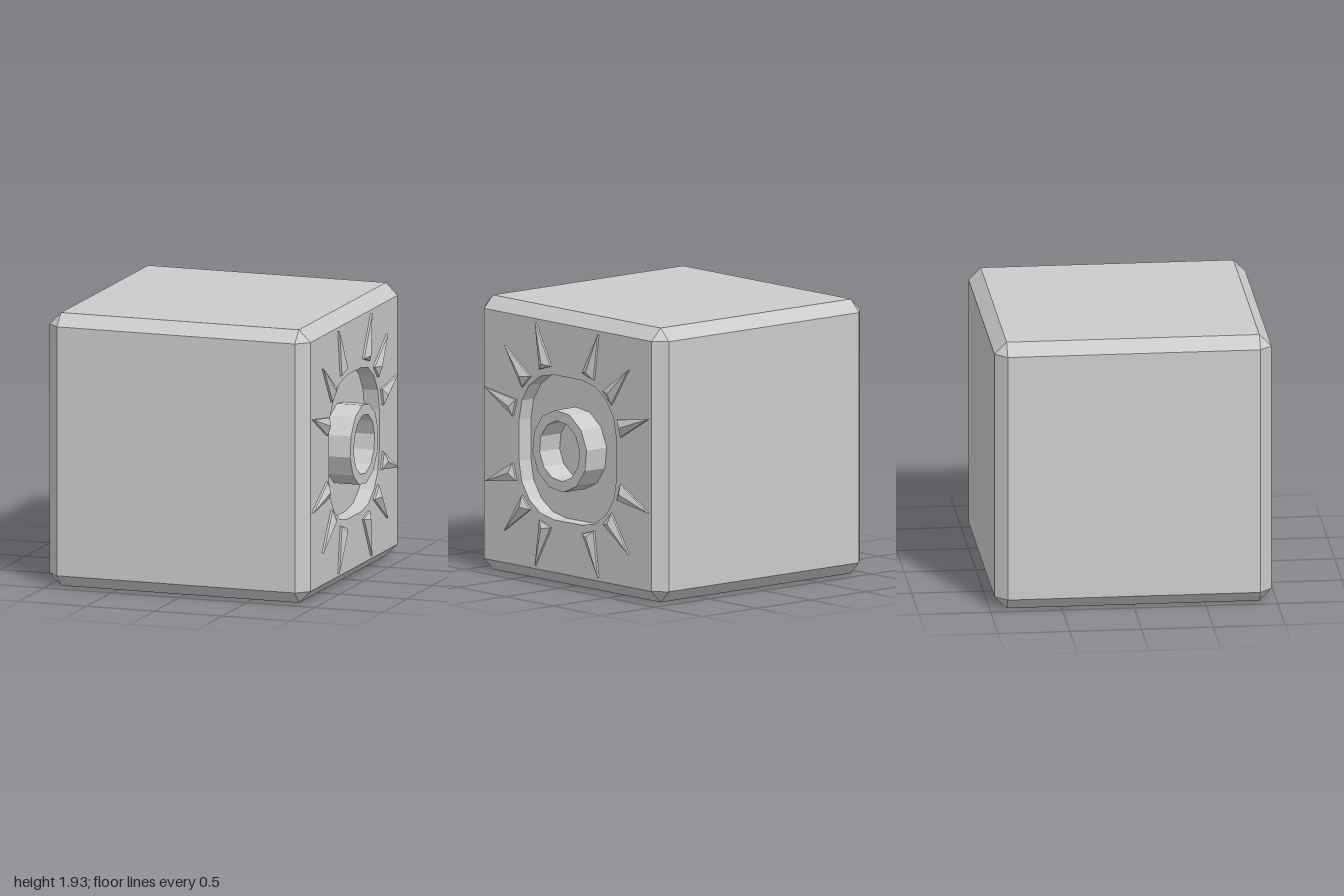
import * as THREE from 'three';
import { ConvexGeometry } from 'three/addons/geometries/ConvexGeometry.js';

const HALF = 0.965, BEVEL = 0.085;      // cube half size and chamfer width
const LEFT = -1, FACE = 0.925, FLOOR = 0.815; // x of plain side, carved side, recess floor

const material = new THREE.MeshStandardMaterial({ color: 0xcccccc, flatShading: true });

function mesh(name, geometry, parent) {
  const m = new THREE.Mesh(geometry, material);
  m.name = name;
  parent.add(m);
  return m;
}

function fromTriangles(points) {
  const g = new THREE.BufferGeometry().setFromPoints(points);
  g.computeVertexNormals();
  return g;
}

// Chamfered cube whose carved side (+x) is left open
function chamferedShell() {
  const mid = (LEFT + FACE) / 2, h = (FACE - LEFT) / 2;
  const pts = [];
  for (const x of [-1, 1]) for (const y of [-1, 1]) for (const z of [-1, 1])
    for (let axis = 0; axis < 3; axis++) {
      const inset = [0, 1, 2].map(i => (i === axis ? 0 : BEVEL));
      pts.push(new THREE.Vector3(mid + x * (h - inset[0]), y * (HALF - inset[1]), z * (HALF - inset[2])));
    }
  const pos = new ConvexGeometry(pts).getAttribute('position');
  const kept = [];
  for (let i = 0; i < pos.count; i += 3) {
    const tri = [0, 1, 2].map(k => new THREE.Vector3().fromBufferAttribute(pos, i + k));
    if (!tri.every(p => p.x > FACE - 0.001)) kept.push(...tri);
  }
  return fromTriangles(kept);
}

// Rounded square outline of the recess, counter-clockwise
function recessOutline() {
  const flat = 0.145, r = 0.365, pts = [];
  for (let q = 0; q < 4; q++)
    for (let s = 0; s <= 4; s++) {
      const a = (q + s / 4) * Math.PI / 2;
      const sx = q === 0 || q === 3 ? 1 : -1, sy = q < 2 ? 1 : -1;
      pts.push(new THREE.Vector2(sx * flat + r * Math.cos(a), sy * flat + r * Math.sin(a)));
    }
  return pts;
}

function polygon(radius, sides, turn) {
  return Array.from({ length: sides }, (_, i) => {
    const a = turn + i * 2 * Math.PI / sides;
    return new THREE.Vector2(radius * Math.cos(a), radius * Math.sin(a));
  });
}

// Inward-facing wall between the carved side and the recess floor
function recessWall(outline) {
  const tris = [];
  outline.forEach((p, i) => {
    const q = outline[(i + 1) % outline.length];
    const [a, b] = [p, q].map(v => new THREE.Vector3(v.x, v.y, FACE));
    const [c, d] = [p, q].map(v => new THREE.Vector3(v.x, v.y, FLOOR));
    tris.push(a, b, d, a, d, c);
  });
  return fromTriangles(tris);
}

// Low spike: triangular foot with a thin rim, rising to a peak near its wide end
function spike(tip, baseA, baseB, peak, sx, sy) {
  const at = ([x, y], z) => new THREE.Vector3(sx * x, sy * y, z);
  const foot = [tip, baseA, baseB];
  return new ConvexGeometry([
    ...foot.map(p => at(p, FACE - 0.005)),
    ...foot.map(p => at(p, 0.94)),
    at(peak, 0.967),
  ]);
}

export function createModel() {
  const model = new THREE.Group();
  model.name = 'carvedCube';

  const body = mesh('cubeBody', chamferedShell(), model);
  body.position.y = HALF;

  // Carved side is drawn in its own plane, then turned to face +x
  const side = new THREE.Group();
  side.name = 'carvedSide';
  side.rotation.y = Math.PI / 2;
  side.position.y = HALF;
  model.add(side);

  const outline = recessOutline();
  const e = HALF - BEVEL;
  const panel = new THREE.Shape([[-e, -e], [e, -e], [e, e], [-e, e]].map(p => new THREE.Vector2(...p)));
  panel.holes.push(new THREE.Path(outline));
  mesh('sidePanel', new THREE.ShapeGeometry(panel), side).position.z = FACE;
  mesh('recessWall', recessWall(outline), side);
  mesh('recessFloor', new THREE.ShapeGeometry(new THREE.Shape(outline)), side).position.z = FLOOR;

  // Twelve-sided ring standing in the recess
  const turn = THREE.MathUtils.degToRad(8.5);
  const ring = new THREE.Shape(polygon(0.287, 12, turn));
  ring.holes.push(new THREE.Path(polygon(0.212, 12, turn)));
  mesh('ring', new THREE.ExtrudeGeometry(ring, { depth: 1 - FLOOR, bevelEnabled: false }), side).position.z = FLOOR;

  // Three spikes per quarter, mirrored around the recess
  const swap = p => [p[1], p[0]];
  const steep = [[0.33, 0.856], [0.165, 0.567], [0.284, 0.531], [0.234, 0.58]];
  const diagonal = [[0.65, 0.65], [0.381, 0.469], [0.469, 0.381], [0.46, 0.46]];
  const spikes = new THREE.Group();
  spikes.name = 'spikes';
  side.add(spikes);
  for (const sx of [-1, 1]) for (const sy of [-1, 1])
    for (const s of [steep, diagonal, steep.map(swap)])
      mesh('spike', spike(...s, sx, sy), spikes);

  return model;
}
